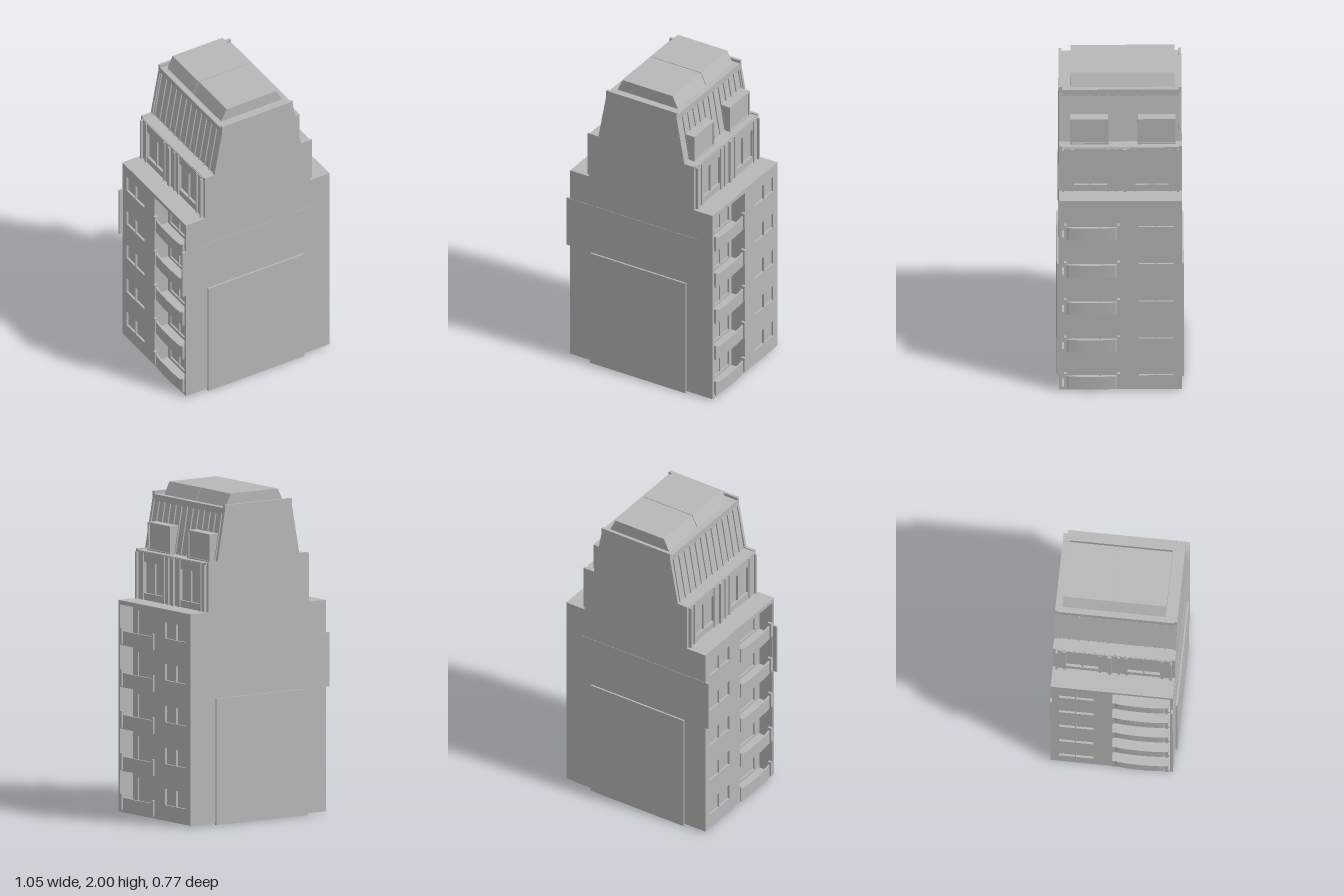
import * as THREE from 'three';

export function createModel() {
  const root = new THREE.Group();
  root.name = 'apartmentBuilding';
  const concrete = new THREE.MeshStandardMaterial({ color: 0xb8b8b8 });
  concrete.name = 'concrete grey';

  // everything is laid out around the axis of the gable walls
  const building = new THREE.Group();
  building.name = 'building';
  building.position.set(0.005, 0, -0.003);
  root.add(building);

  const add = (name, geo) => {
    const m = new THREE.Mesh(geo, concrete);
    m.name = name;
    building.add(m);
    return m;
  };
  const box = (name, x0, x1, y0, y1, z0, z1) =>
    add(name, new THREE.BoxGeometry(Math.abs(x1 - x0), y1 - y0, z1 - z0)
      .translate((x0 + x1) / 2, (y0 + y1) / 2, (z0 + z1) / 2));
  const poly = (pts) => new THREE.Shape(pts.map(([a, b]) => new THREE.Vector2(a, b)));
  const extrude = (shape, depth) => new THREE.ExtrudeGeometry(shape, { depth, bevelEnabled: false });
  // outline in x,y pushed along z
  const profile = (name, pts, z0, z1) => add(name, extrude(poly(pts), z1 - z0).translate(0, 0, z0));
  // outline in x,z pushed up y
  const plan = (name, pts, y0, y1) =>
    add(name, extrude(poly(pts.map(([x, z]) => [x, -z])), y1 - y0).rotateX(-Math.PI / 2).translate(0, y0, 0));
  // wall facing x, with rectangular openings [z0, z1, y0, y1]
  const sideWall = (name, x0, x1, [z0, z1, y0, y1], holes) => {
    const rect = (a, b, c, d) => [[-b, c], [-a, c], [-a, d], [-b, d]];
    const s = poly(rect(z0, z1, y0, y1));
    for (const h of holes) s.holes.push(poly(rect(...h)));
    const a = Math.min(x0, x1);
    add(name, extrude(s, Math.abs(x1 - x0)).rotateY(Math.PI / 2).translate(a, 0, 0));
  };

  const W = 0.505, floors = [0.02, 0.27, 0.525, 0.78, 1.035];

  // stepped gable walls with their applied panels
  const gable = [[-W, 0.01], [W, 0.01], [W, 1.28], [0.372, 1.28], [0.372, 1.6], [0.305, 1.6], [0.25, 1.9], [0.25, 1.94]];
  const outline = [...gable, ...gable.slice(2).reverse().map(([x, y]) => [-x, y])];
  for (const s of [1, -1]) {
    const z = (a, b) => (s > 0 ? [a, b] : [-b, -a]);
    profile('gableWall', outline, ...z(0.352, 0.37));
    box('gableBand', -0.53, 0.395, 0.77, 1.1, ...z(0.36, 0.372));
    box('gablePanel', -0.355, 0.32, 0, 0.77, ...z(0.365, 0.383));
  }

  // main block with set-back balcony bays
  plan('mainBlock', [[-0.492, -0.36], [0.492, -0.36], [0.492, 0], [0.4, 0], [0.4, 0.36],
    [-0.4, 0.36], [-0.4, 0], [-0.492, 0]], 0.01, 1.28);
  box('baseSlab', -W, W, 0.01, 0.03, -0.36, 0.36);
  box('terraceSlab', -W, W, 1.272, 1.298, -0.37, 0.37);

  for (const s of [1, -1]) {
    // flat facade with paired windows
    const panes = [];
    for (const y of floors) panes.push(
      [-0.215, -0.11, y + 0.085, y + 0.185], [-0.32, -0.221, y + 0.085, y + 0.185]);
    sideWall('windowFacade', s * 0.49, s * W, [-0.36, 0.002, 0.01, 1.28], panes);

    // balcony doors behind the bays
    const doors = floors.map((y) => [0.03, 0.3, y + 0.03, y + 0.2]);
    sideWall('balconyBackWall', s * 0.395, s * 0.41, [0.002, 0.352, 0.03, 1.28], doors);

    for (const y of floors) {
      box('balconyMullion', s * 0.398, s * 0.408, y + 0.03, y + 0.2, 0.12, 0.13);
      box('balconySlab', s * 0.39, s * 0.5, y - 0.01, y + 0.012, 0, 0.355);
      // bowed parapet
      const outer = [], inner = [];
      for (let i = 0; i <= 12; i++) {
        const t = i / 12, bow = 0.016 * Math.pow(Math.sin(Math.PI * t), 0.4);
        const z = 0.004 + 0.336 * t;
        outer.push([s * (0.499 + bow), z]);
        inner.push([s * (0.487 + bow), z]);
      }
      plan('balconyParapet', [...outer, ...inner.reverse()], y - 0.005, y + 0.08);
      // raised parapet ends
      for (const z of [0.004, 0.325]) box('parapetEnd', s * 0.488, s * 0.513, y, y + 0.1, z, z + 0.016);
    }

    // set-back storey with window openings and piers
    sideWall('upperFacade', s * 0.36, s * 0.378, [-0.352, 0.352, 1.29, 1.59],
      [[0.08, 0.28, 1.34, 1.53], [-0.29, -0.09, 1.34, 1.53]]);
    for (const z of [-0.3, -0.085, -0.03, 0.03, 0.075, 0.29])
      box('upperPier', s * 0.37, s * 0.386, 1.298, 1.585, z - 0.007, z + 0.007);
    box('centrePier', s * 0.37, s * 0.392, 1.298, 1.585, -0.035, -0.015);
    for (const z of [-0.19, 0.18]) box('windowMullion', s * 0.36, s * 0.374, 1.34, 1.53, z - 0.005, z + 0.005);
    for (const z of [-0.352, 0.34]) box('cornerPier', s * 0.37, s * 0.392, 1.298, 1.585, z, z + 0.012);

    // standing seams on the steep roof
    for (let i = 0; i < 12; i++) {
      const z = -0.336 + i * 0.058;
      profile('roofSeam', [[s * 0.29, 1.59], [s * 0.304, 1.59], [s * 0.254, 1.885], [s * 0.24, 1.885]], z - 0.003, z + 0.003);
    }
  }
  box('upperStorey', -0.362, 0.362, 1.28, 1.588, -0.36, 0.36);
  box('upperLedge', -0.374, 0.374, 1.58, 1.594, -0.355, 0.355);

  // steep roof, eaves band and the two-part cap
  profile('steepRoof', [[-0.297, 1.59], [0.297, 1.59], [0.243, 1.9], [-0.243, 1.9]], -0.355, 0.355);
  box('roofBand', -0.25, 0.25, 1.88, 1.922, -0.355, 0.355);
  const cap = [[-0.215, 1.92], [0.215, 1.92], [0.176, 2], [-0.176, 2]];
  profile('roofCap', cap, -0.328, -0.026);
  profile('roofCap', cap, -0.022, 0.298);
  profile('roofCapJoint', cap.map(([x, y]) => [x * 0.99, y - 0.005]), -0.03, -0.018);

  // box dormers on the left slope only
  for (const [z0, z1] of [[0.073, 0.304], [-0.332, -0.102]]) {
    box('dormer', 0.24, 0.327, 1.59, 1.765, z0, z1);
    sideWall('dormerFrame', 0.325, 0.335, [z0, z1, 1.59, 1.765], [[z0 + 0.012, z1 - 0.012, 1.602, 1.753]]);
  }
  return root;
}
